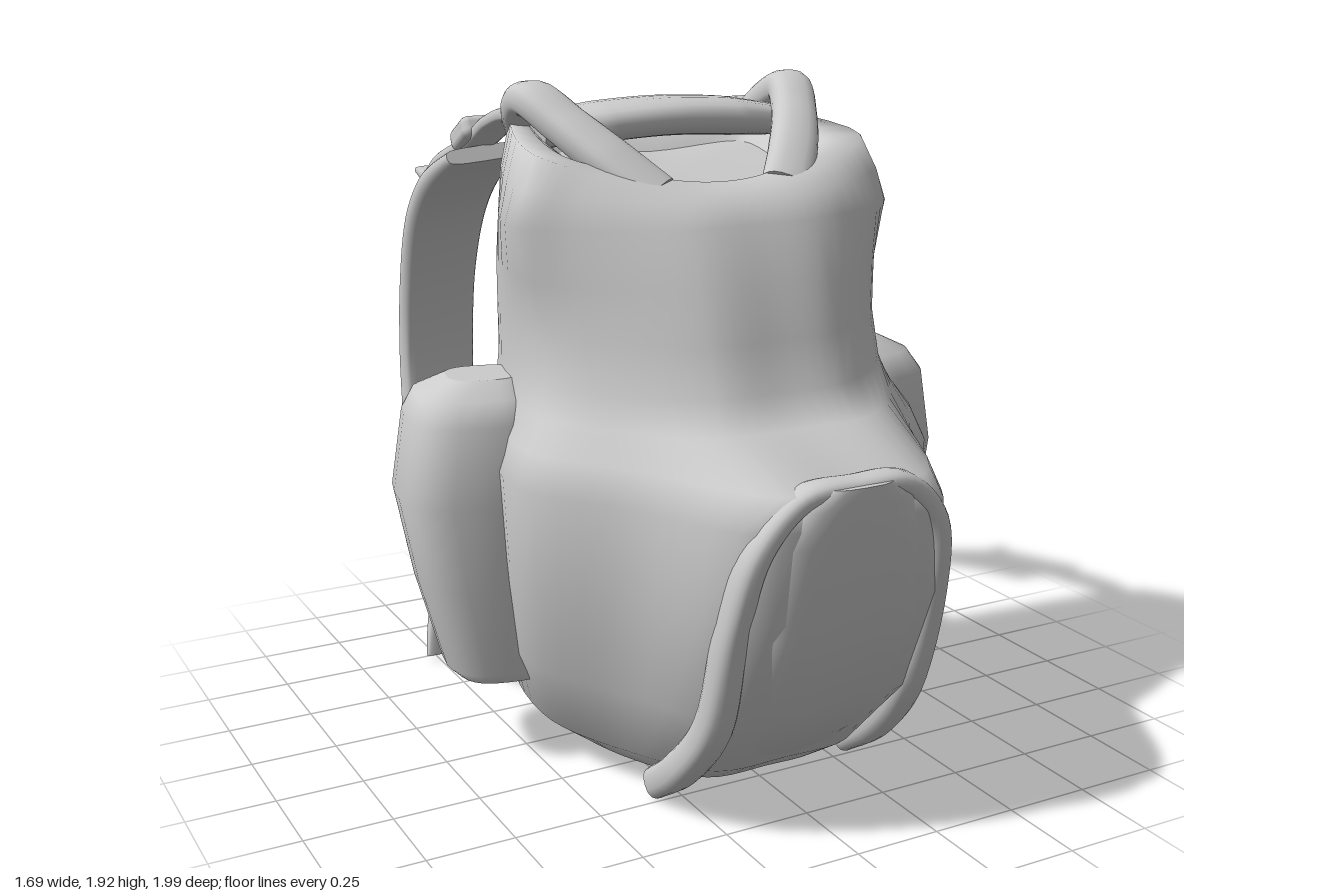
import * as THREE from 'three';
import { RoundedBoxGeometry } from 'three/addons/geometries/RoundedBoxGeometry.js';

const V = (x, y, z) => new THREE.Vector3(x, y, z);
const X = V(1, 0, 0), Z = V(0, 0, 1);
const material = new THREE.MeshStandardMaterial({ color: 0xcccccc });

// Skin a list of rings with equal point counts and close both ends
function loft(rings) {
  const n = rings[0].length, m = rings.length, pos = [], index = [];
  rings.forEach(r => r.forEach(p => pos.push(p.x, p.y, p.z)));
  for (let i = 0; i < m - 1; i++) for (let j = 0; j < n; j++) {
    const a = i * n + j, c = i * n + (j + 1) % n;
    index.push(a, a + n, c, c, a + n, c + n);
  }
  [rings[0], rings[m - 1]].forEach((r, end) => {
    const base = pos.length / 3;
    const c = r.reduce((s, p) => s.add(p), V(0, 0, 0)).divideScalar(n);
    pos.push(c.x, c.y, c.z);
    r.forEach(p => pos.push(p.x, p.y, p.z));
    for (let j = 0; j < n; j++) {
      const p = base + 1 + j, q = base + 1 + (j + 1) % n;
      index.push(base, ...(end ? [q, p] : [p, q]));
    }
  });
  const g = new THREE.BufferGeometry();
  g.setAttribute('position', new THREE.Float32BufferAttribute(pos, 3));
  g.setIndex(index);
  g.computeVertexNormals();
  return g;
}

// Rounded ring with half sizes a and b along the directions s and n
function section(c, s, n, a, b, power = 0.5, count = 20) {
  const f = v => Math.sign(v) * Math.abs(v) ** power;
  return Array.from({ length: count }, (_, i) => {
    const t = i / count * Math.PI * 2;
    return c.clone().addScaledVector(s, a * f(Math.cos(t))).addScaledVector(n, b * f(Math.sin(t)));
  });
}

// Strap swept along rows of [x, y, z, halfWidth, halfThickness]
function ribbon(rows, side = X, steps = 48, power = 0.5) {
  const curve = new THREE.CatmullRomCurve3(rows.map(r => V(r[0], r[1], r[2])));
  const rings = [];
  for (let i = 0; i <= steps; i++) {
    const u = i / steps, k = Math.min(Math.floor(u * (rows.length - 1)), rows.length - 2);
    const f = u * (rows.length - 1) - k;
    const size = q => THREE.MathUtils.lerp(rows[k][q], rows[k + 1][q], f);
    const t = curve.getTangent(u);
    const s = side.clone().addScaledVector(t, -side.dot(t)).normalize();
    rings.push(section(curve.getPoint(u), s, s.clone().cross(t), size(3), size(4), power));
  }
  return loft(rings);
}

// Body ring: half widths and depths at back, side, corner and front;
// slope lowers it to the front, lift raises it towards the sides
function bodyRing([y, wb, ws, zs, wc, zc, wf, zf, slope = 0, lift = 0, zb = -0.25]) {
  const half = [[ws, zs], [wc, zc], [wf, zf]];
  const outline = [...half, [0, zf + 0.015],
    ...half.slice().reverse().map(([x, z]) => [-x, z]),
    [-wb - 0.03, zb + 0.05], [-wb, zb], [0, zb], [wb, zb], [wb + 0.03, zb + 0.05]];
  const pts = outline.map(([x, z]) => V(x, y - slope * z + lift * x * x, z));
  return new THREE.CatmullRomCurve3(pts, true).getPoints(60).slice(0, 60);
}

export function createModel() {
  const model = new THREE.Group();
  model.name = 'backpack';
  const add = (name, geometry, parent = model) => {
    const mesh = new THREE.Mesh(geometry, material);
    mesh.name = name;
    parent.add(mesh);
    return mesh;
  };
  const block = (name, parent, w, h, d, x, y, z, tilt) => {
    const mesh = add(name, new RoundedBoxGeometry(w, h, d, 2, Math.min(w, h, d) * 0.35), parent);
    mesh.position.set(x, y, z);
    mesh.rotation.x = tilt;
  };

  // Main sack, closing into a sunken top
  add('mainBody', loft([
    [0.02, 0.24, 0.27, 0.08, 0.22, 0.29, 0.14, 0.42, -0.01, 0, -0.18],
    [0.05, 0.35, 0.38, 0.09, 0.31, 0.33, 0.18, 0.52, 0, 0, -0.23],
    [0.12, 0.41, 0.47, 0.12, 0.37, 0.39, 0.21, 0.62],
    [0.35, 0.46, 0.57, 0.21, 0.43, 0.51, 0.26, 0.81],
    [0.65, 0.46, 0.62, 0.28, 0.45, 0.59, 0.28, 0.91],
    [0.90, 0.46, 0.64, 0.30, 0.45, 0.61, 0.26, 0.94],
    [0.99, 0.46, 0.60, 0.29, 0.43, 0.57, 0.21, 0.94],
    [1.07, 0.45, 0.55, 0.25, 0.43, 0.47, 0.22, 0.66],
    [1.15, 0.44, 0.53, 0.16, 0.45, 0.38, 0.20, 0.59],
    [1.28, 0.44, 0.52, 0.16, 0.45, 0.34, 0.20, 0.55],
    [1.42, 0.44, 0.54, 0.17, 0.46, 0.32, 0.20, 0.50],
    [1.57, 0.43, 0.58, 0.19, 0.47, 0.30, 0.20, 0.43],
    [1.65, 0.42, 0.55, 0.19, 0.44, 0.28, 0.18, 0.38, 0.06, 0.08],
    [1.715, 0.39, 0.51, 0.17, 0.38, 0.25, 0.15, 0.32, 0.2, 0.28],
    [1.72, 0.35, 0.41, 0.13, 0.30, 0.20, 0.12, 0.26, 0.2, 0.28, -0.21],
    [1.67, 0.28, 0.28, 0.10, 0.20, 0.14, 0.08, 0.18, 0.2, 0.2, -0.15],
  ].map(bodyRing)));

  // Padded roll across the top of the back
  add('topRoll', ribbon([
    [-0.38, 1.78, -0.12, 0.10, 0.045], [-0.2, 1.80, -0.10, 0.13, 0.055],
    [0, 1.81, -0.09, 0.13, 0.055],
    [0.2, 1.80, -0.10, 0.13, 0.055], [0.38, 1.78, -0.12, 0.10, 0.045]], Z, 48, 0.8));

  // Bulging front pocket: height, half width, front depth
  add('frontPocket', loft([
    [0.04, 0.15, 0.48], [0.12, 0.19, 0.63], [0.22, 0.21, 0.74], [0.35, 0.23, 0.85], [0.6, 0.25, 0.95],
    [0.85, 0.24, 0.98], [0.95, 0.19, 0.995], [1.0, 0.12, 0.995],
  ].map(([y, w, z]) => section(V(0, y, z - 0.14), X, Z, w, 0.14, 0.6, 28))));

  // Arched piping with straps running down below the pocket
  const arch = [[0.31, 0.04, 0.46, 0.045, 0.035], [0.31, 0.15, 0.61, 0.05, 0.05],
    [0.30, 0.33, 0.76, 0.05, 0.05], [0.30, 0.65, 0.86, 0.05, 0.04],
    [0.26, 0.86, 0.91, 0.05, 0.035], [0.15, 0.975, 0.93, 0.045, 0.03]];
  add('pocketArch', ribbon([...arch, [0, 0.985, 0.935, 0.045, 0.03],
    ...arch.slice().reverse().map(([x, ...rest]) => [-x, ...rest])], Z, 72, 0.8));

  for (const s of [1, -1]) {
    const side = new THREE.Group();
    side.name = s > 0 ? 'leftSide' : 'rightSide';
    model.add(side);

    // Side pocket, turned slightly backwards: height, inner x, outer x, half depth, centre z
    const out = V(1, 0, -s * 0.22).normalize(), along = V(s * 0.22, 0, 1).normalize();
    const shift = s > 0 ? 0.02 : -0.05;
    add('sidePocket', loft([
      [0.26, 0.42, 0.69, 0.16, 0.00], [0.29, 0.42, 0.72, 0.18, -0.01],
      [0.55, 0.42, 0.79, 0.21, -0.02], [0.80, 0.42, 0.835, 0.225, -0.03],
      [1.02, 0.42, 0.80, 0.21, -0.03], [1.08, 0.44, 0.77, 0.16, -0.03],
      [1.125, 0.48, 0.68, 0.09, -0.02],
    ].map(([y, a, b, d, z]) =>
      section(V(s * (a + b) / 2, y, z + shift), out, along, (b - a) / 2, d, 0.7, 28))), side);

    // Lid strap over the top corner, sinking into the front lip
    add('lidStrap', ribbon([
      [s * 0.37, 1.78, -0.23, 0.05, 0.035], [s * 0.40, 1.84, -0.16, 0.06, 0.045],
      [s * 0.41, 1.875, -0.07, 0.065, 0.05], [s * 0.36, 1.81, 0.05, 0.065, 0.05],
      [s * 0.29, 1.73, 0.16, 0.07, 0.05], [s * 0.20, 1.64, 0.27, 0.07, 0.04]], X, 30, 0.8), side);

    // Shoulder strap: narrow webbing with a loose tail, wide pad, thin webbing back to the body
    add('shoulderWebbing', ribbon([
      [s * 0.36, 1.80, -0.18, 0.045, 0.02], [s * 0.365, 1.815, -0.28, 0.05, 0.02],
      [s * 0.37, 1.78, -0.40, 0.06, 0.02], [s * 0.38, 1.71, -0.54, 0.05, 0.02],
      [s * 0.41, 1.645, -0.67, 0.06, 0.02], [s * 0.42, 1.59, -0.74, 0.065, 0.02],
      [s * 0.42, 1.60, -0.81, 0.065, 0.012]], X, 36), side);
    add('shoulderPad', ribbon([
      [s * 0.38, 1.68, -0.50, 0.125, 0.025], [s * 0.395, 1.60, -0.64, 0.14, 0.035],
      [s * 0.40, 1.47, -0.77, 0.14, 0.035], [s * 0.395, 1.25, -0.88, 0.135, 0.035],
      [s * 0.39, 1.0, -0.93, 0.135, 0.035], [s * 0.40, 0.75, -0.905, 0.13, 0.035],
      [s * 0.43, 0.50, -0.82, 0.115, 0.03], [s * 0.46, 0.30, -0.71, 0.07, 0.025]], V(1, 0, s * 0.25)), side);
    add('lowerWebbing', ribbon([
      [s * 0.47, 0.30, -0.72, 0.05, 0.02], [s * 0.47, 0.21, -0.60, 0.05, 0.02],
      [s * 0.47, 0.19, -0.47, 0.04, 0.018], [s * 0.45, 0.25, -0.35, 0.04, 0.018],
      [s * 0.43, 0.38, -0.27, 0.04, 0.018], [s * 0.42, 0.52, -0.23, 0.04, 0.018]], X, 30), side);
    add('strapEnd', ribbon([
      [s * 0.47, 0.34, -0.75, 0.05, 0.02], [s * 0.47, 0.20, -0.735, 0.045, 0.025],
      [s * 0.47, 0.10, -0.73, 0.06, 0.022], [s * 0.47, 0.02, -0.72, 0.07, 0.015]], X, 16), side);

    // Buckles and loop on the strap
    block('upperBuckle', side, 0.14, 0.07, 0.14, s * 0.38, 1.735, -0.54, -0.5);
    block('lowerBuckle', side, 0.13, 0.06, 0.15, s * 0.47, 0.24, -0.65, 0.75);
    const loop = add('padLoop', new THREE.TorusGeometry(0.035, 0.012, 8, 20), side);
    loop.position.set(s * 0.39, 0.99, -0.975);
    loop.rotation.y = -s * 0.24;
  }
  return model;
}
